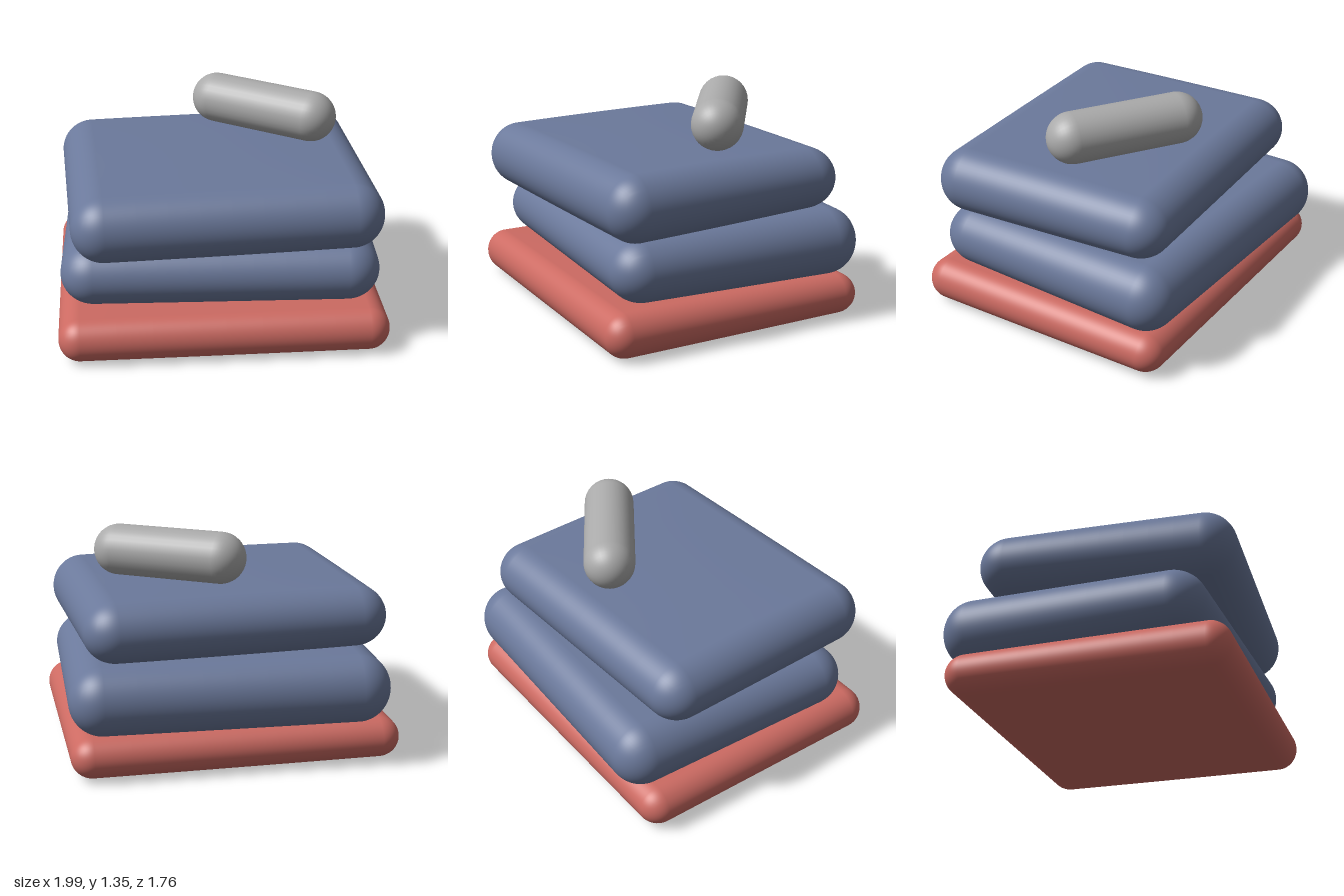
import * as THREE from 'three';
import { mergeVertices } from 'three/addons/utils/BufferGeometryUtils.js';

const mat = (name, color) => {
  const m = new THREE.MeshStandardMaterial({ color });
  m.name = name;
  return m;
};

// Grid coordinate (-1..1) to box coordinate: a flat middle, then dense steps over the rounded edge
function spread(t, flat, r, core) {
  const a = Math.abs(t);
  const v = a <= core
    ? (core ? flat * a / core : 0)
    : flat + r * Math.tan((a - core) / (1 - core) * Math.PI / 4);
  return Math.sign(t) * v;
}

// Pillow with fully rounded rim, slight crown and a front-to-back taper in thickness
function cushionGeometry(hx, hz, r, crown, taper) {
  let g = new THREE.BoxGeometry(2, 2, 2, 24, 16, 24);
  g.deleteAttribute('normal');
  g.deleteAttribute('uv');
  g = mergeVertices(g);
  const p = g.attributes.position;
  const fx = hx - r, fz = hz - r;
  const v = new THREE.Vector3(), core = new THREE.Vector3();
  for (let i = 0; i < p.count; i++) {
    v.set(
      spread(p.getX(i), fx, r, 1 / 3),
      spread(p.getY(i), 0, r, 0),
      spread(p.getZ(i), fz, r, 1 / 3));
    core.set(THREE.MathUtils.clamp(v.x, -fx, fx), 0, THREE.MathUtils.clamp(v.z, -fz, fz));
    v.sub(core).setLength(r).add(core);
    const puff = crown * (1 - (v.x / hx) ** 2) * (1 - (v.z / hz) ** 2);
    v.y = v.y * (1 + taper * v.z) + puff * v.y / r;
    p.setXYZ(i, v.x, v.y, v.z);
  }
  g.computeVertexNormals();
  return g;
}

export function createModel() {
  const group = new THREE.Group();
  const red = mat('red fabric', 0xcc6a62);
  const blue = mat('blue fabric', 0x6b799b);
  const grey = mat('grey fabric', 0xaaaaaa);

  // Stack of three cushions, each turned a little
  const cushions = [
    { name: 'bottomCushion', m: red, hx: 0.98, hz: 0.835, r: 0.127, crown: 0.008, taper: 0.05, pos: [0, 0.135, 0.02], turn: 0.02, tilt: 0 },
    { name: 'middleCushion', m: blue, hx: 0.945, hz: 0.8, r: 0.195, crown: 0.005, taper: -0.07, pos: [0.01, 0.455, -0.07], turn: -0.02, tilt: 0 },
    { name: 'topCushion', m: blue, hx: 0.912, hz: 0.767, r: 0.188, crown: 0.018, taper: 0.06, pos: [0, 0.828, 0.06], turn: 0.07, tilt: 0.01 },
  ];
  for (const c of cushions) {
    const mesh = new THREE.Mesh(cushionGeometry(c.hx, c.hz, c.r, c.crown, c.taper), c.m);
    mesh.name = c.name;
    mesh.position.set(...c.pos);
    mesh.rotation.set(c.tilt, c.turn, 0);
    group.add(mesh);
  }

  // Small bolster lying diagonally on top
  const a = new THREE.Vector3(0.035, 1.197, -0.385);
  const b = new THREE.Vector3(0.585, 1.193, -0.03);
  const axis = b.clone().sub(a);
  const bolster = new THREE.Mesh(new THREE.CapsuleGeometry(0.153, axis.length(), 12, 32), grey);
  bolster.name = 'bolster';
  bolster.position.copy(a).add(b).multiplyScalar(0.5);
  bolster.quaternion.setFromUnitVectors(new THREE.Vector3(0, 1, 0), axis.normalize());
  group.add(bolster);

  return group;
}
